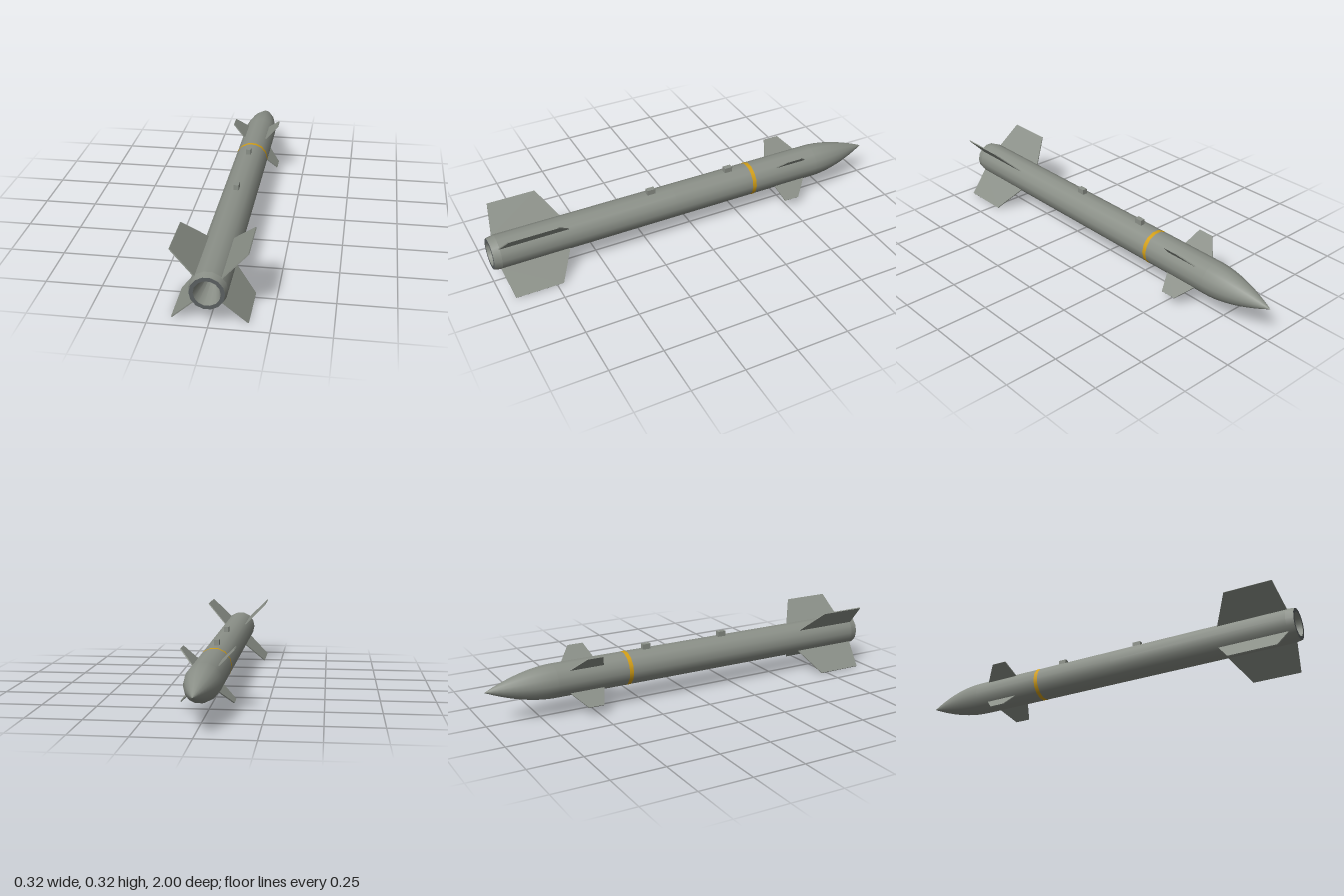
import * as THREE from 'three';

const SIDES = 14;
const R = 0.08;
const AXIS_Y = 0.161;

export function createModel() {
  const paint = (name, color, extra = {}) => {
    const m = new THREE.MeshStandardMaterial({ color, ...extra });
    m.name = name;
    return m;
  };
  const grey = paint('greyPaint', 0x8b9088);
  const dark = paint('darkMetal', 0x5a5f60);
  const yellow = paint('yellowBand', 0xd4a017);

  const model = new THREE.Group();
  model.name = 'missile';
  const axis = new THREE.Group();
  axis.name = 'airframe';
  axis.position.y = AXIS_Y;
  model.add(axis);

  const add = (name, geometry, material) => {
    const mesh = new THREE.Mesh(geometry, material);
    mesh.name = name;
    axis.add(mesh);
    return mesh;
  };

  // Turned part along z; profile is a list of [radius, z] running towards the nose
  const turned = (name, profile, material) => {
    const points = profile.map(([r, z]) => new THREE.Vector2(r, -z));
    const g = new THREE.LatheGeometry(points, SIDES, Math.PI / 2);
    g.rotateX(-Math.PI / 2);
    return add(name, g, material);
  };

  // Body sections
  turned('tailBevel', [[0.073, 1], [R, 0.965]], grey);
  turned('motorSection', [[R, 0.965], [R, 0.1]], grey);
  turned('forwardSection', [[R, 0.1], [R, -0.68]], grey);
  turned('warningBand', [[R + 0.0008, -0.31], [R + 0.0008, -0.33]], yellow);

  // Ogive nose
  const nose = [];
  for (let i = 0; i <= 12; i++) {
    const t = i / 12;
    nose.push([R * (1 - t ** 1.8), -0.68 - 0.32 * t]);
  }
  turned('noseCone', nose, grey);

  // Exhaust: flat rim and a recessed cone
  add('nozzleRim', new THREE.RingGeometry(0.056, 0.073, SIDES), dark).position.z = 1;
  turned('nozzleCone', [[0, 0.75], [0.056, 1]], grey);

  // Four fins in an X; outline is a list of [radius, z]
  const finSet = (name, outline, thickness) => {
    const shape = new THREE.Shape(outline.map(([r, z]) => new THREE.Vector2(r, -z)));
    const g = new THREE.ExtrudeGeometry(shape, { depth: thickness, bevelEnabled: false });
    g.translate(0, 0, -thickness / 2);
    g.rotateX(-Math.PI / 2);
    for (let k = 0; k < 4; k++) {
      add(name, g, grey).rotation.z = Math.PI / 4 + k * Math.PI / 2;
    }
  };
  finSet('tailFin', [[0.076, 0.97], [0.223, 0.945], [0.223, 0.72], [0.076, 0.64]], 0.005);
  finSet('frontFin', [[0.076, -0.45], [0.164, -0.48], [0.164, -0.555], [0.076, -0.62]], 0.005);

  // Hanger lugs on top
  for (const z of [0.207, -0.207]) {
    add('hangerLug', new THREE.BoxGeometry(0.024, 0.032, 0.04), grey).position.set(0, 0.087, z);
  }

  return model;
}
